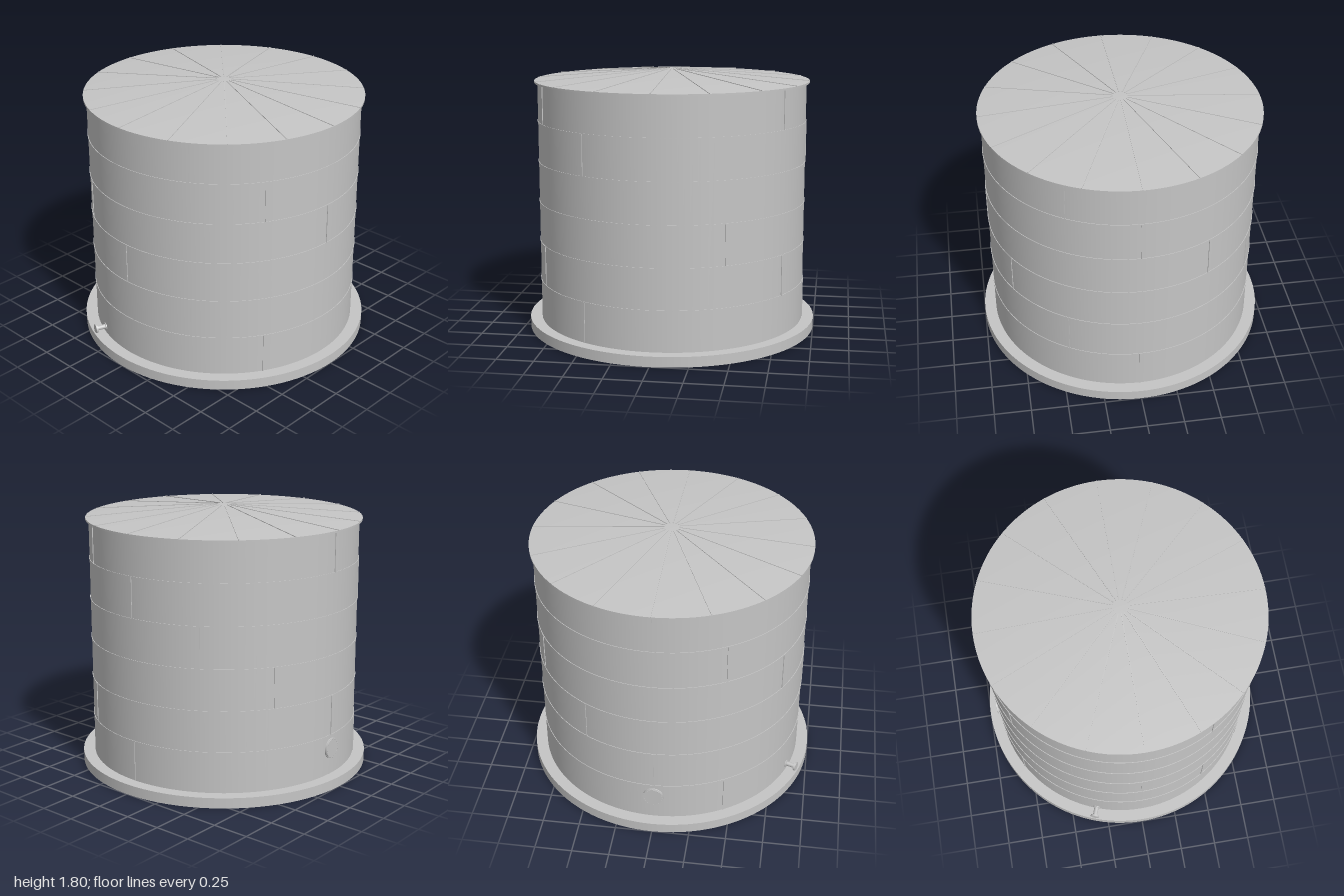
import * as THREE from 'three';
import { toCreasedNormals } from 'three/addons/utils/BufferGeometryUtils.js';

const steel = new THREE.MeshStandardMaterial({ color: 0xc5c5c5 });
steel.name = 'grey steel';

const R = 0.919; // shell radius
const BASE = 0.07; // foundation height
const EAVE = 1.709; // top of the shell
const ROOF_R = 0.94;
const RIM = 1.722; // lower edge of the roof cone
const PEAK = 1.798;

function add(parent, geometry, name) {
  const mesh = new THREE.Mesh(geometry, steel);
  mesh.name = name;
  parent.add(mesh);
  return mesh;
}

// Revolved profile of [radius, height] pairs, smooth around and sharp at corners
function turned(profile) {
  const points = profile.map(([r, y]) => new THREE.Vector2(r, y));
  return toCreasedNormals(new THREE.LatheGeometry(points, 128), 0.4);
}

// Disc or pipe whose axis points along +z
function disc(parent, radius, from, to, name, sides = 32) {
  const geometry = new THREE.CylinderGeometry(radius, radius, to - from, sides);
  geometry.rotateX(Math.PI / 2).translate(0, 0, (from + to) / 2);
  return add(parent, geometry, name);
}

function createShell() {
  const shell = new THREE.Group();
  shell.name = 'shell';
  add(shell, new THREE.CylinderGeometry(R, R, EAVE - BASE, 128, 1, true)
    .translate(0, (EAVE + BASE) / 2, 0), 'shellWall');
  // Six courses of three plates, each course turned 30 degrees from the one below
  const levels = [BASE, 0.346, 0.622, 0.898, 1.174, 1.448, EAVE];
  for (let i = 0; i < 6; i++) {
    const low = levels[i], high = levels[i + 1];
    for (let k = 0; k < 3; k++) {
      const weld = new THREE.BoxGeometry(0.006, high - low, 0.01);
      weld.translate(0, (low + high) / 2, R);
      weld.rotateY(Math.PI / 2 - i * Math.PI / 6 + k * Math.PI * 2 / 3);
      add(shell, weld, 'verticalWeld');
    }
    if (i > 0) {
      add(shell, turned([[R - 0.001, low - 0.003], [R + 0.004, low - 0.003],
        [R + 0.004, low + 0.003], [R - 0.001, low + 0.003]]), 'ringWeld');
    }
  }
  return shell;
}

function createRoof() {
  const roof = new THREE.Group();
  roof.name = 'roof';
  // Overhanging rim and shallow cone
  add(roof, turned([[R - 0.004, EAVE], [ROOF_R, EAVE], [ROOF_R, RIM], [0, PEAK]]), 'roofCone');
  // Sixteen low seams running down from the apex
  const inner = 0.05, outer = ROOF_R - 0.001;
  const mid = (inner + outer) / 2;
  const slope = Math.atan2(PEAK - RIM, ROOF_R);
  for (let i = 0; i < 16; i++) {
    const seam = new THREE.BoxGeometry(0.006, 0.008, (outer - inner) / Math.cos(slope));
    seam.rotateX(slope);
    seam.translate(0, PEAK - mid * Math.tan(slope), mid);
    seam.rotateY(i * Math.PI / 8);
    add(roof, seam, 'roofSeam');
  }
  return roof;
}

// Round bolted access cover at the back
function createManhole() {
  const manhole = new THREE.Group();
  manhole.name = 'manhole';
  disc(manhole, 0.06, 0.9, 0.927, 'manholeNeck', 48);
  disc(manhole, 0.07, 0.923, 0.932, 'manholeFlange', 48);
  disc(manhole, 0.066, 0.932, 0.937, 'manholeCover', 48);
  for (let i = 0; i < 20; i++) {
    const a = i * Math.PI / 10;
    disc(manhole, 0.0035, 0.92, 0.94, 'manholeBolt', 6)
      .position.set(0.062 * Math.cos(a), 0.062 * Math.sin(a), 0);
  }
  manhole.position.y = 0.254;
  manhole.rotation.y = Math.PI;
  return manhole;
}

// Short flanged pipe low on the side
function createNozzle() {
  const nozzle = new THREE.Group();
  nozzle.name = 'nozzle';
  disc(nozzle, 0.026, 0.91, 0.925, 'nozzlePad');
  disc(nozzle, 0.016, 0.91, 0.985, 'nozzlePipe');
  disc(nozzle, 0.031, 0.983, 0.997, 'nozzleFlange');
  nozzle.position.y = 0.115;
  nozzle.rotation.y = -Math.PI / 2 - 0.354;
  return nozzle;
}

export function createModel() {
  const tank = new THREE.Group();
  tank.name = 'storageTank';
  add(tank, new THREE.CylinderGeometry(1, 1, BASE, 128).translate(0, BASE / 2, 0), 'foundation');
  tank.add(createShell(), createRoof(), createManhole(), createNozzle());
  return tank;
}
